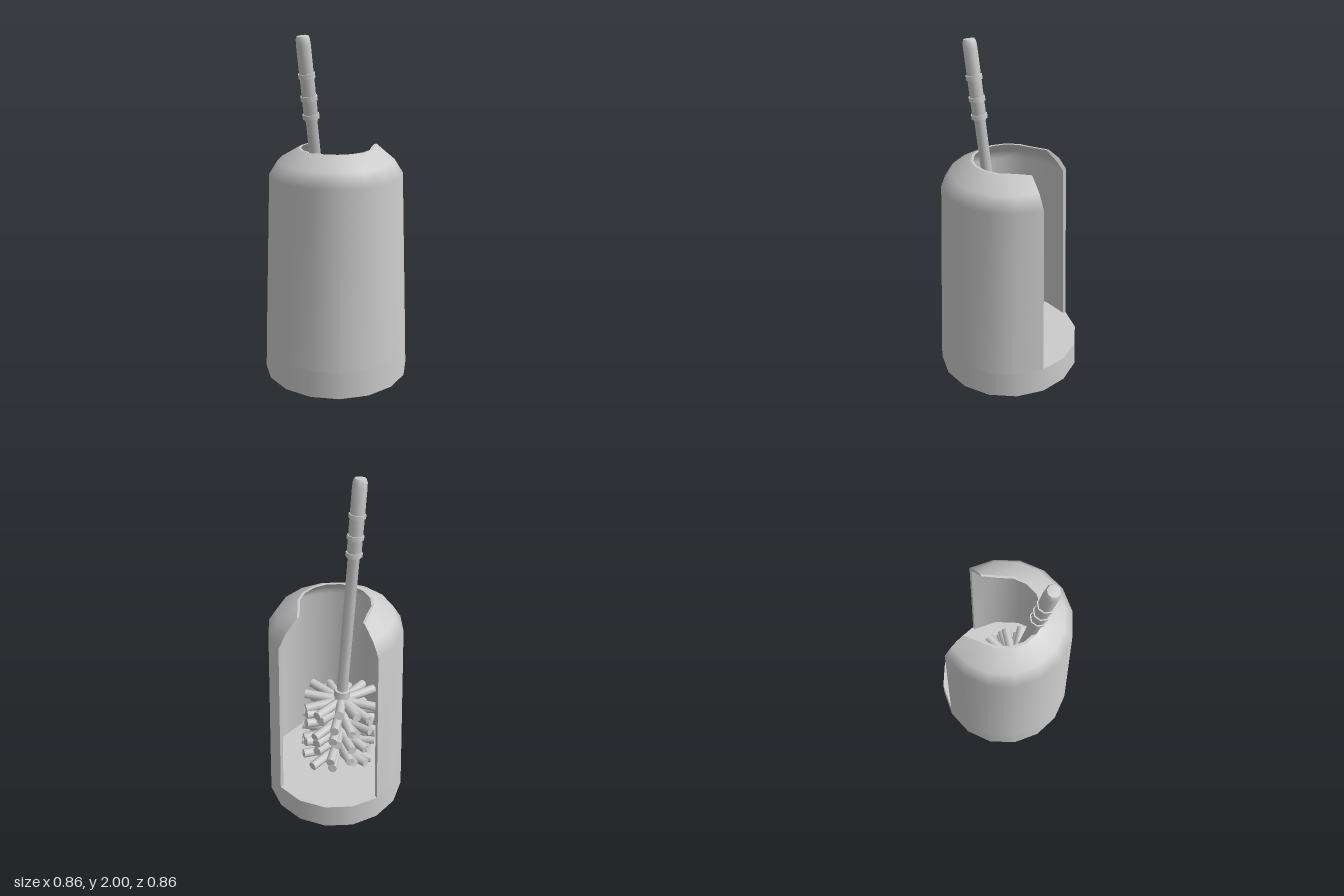
import * as THREE from 'three';
import { mergeGeometries, toCreasedNormals } from 'three/addons/utils/BufferGeometryUtils.js';

const material = new THREE.MeshStandardMaterial({ color: 0xcccccc });
const shellMaterial = new THREE.MeshStandardMaterial({ color: 0xcccccc, side: THREE.DoubleSide });

function part(name, geometry, mat = material) {
  const mesh = new THREE.Mesh(geometry, mat);
  mesh.name = name;
  return mesh;
}

// Grid of quads whose corners come from place(column, row), row 0 on top
function sheet(cols, rows, place) {
  const g = new THREE.PlaneGeometry(1, 1, cols, rows);
  const p = g.attributes.position;
  for (let j = 0; j <= rows; j++)
    for (let i = 0; i <= cols; i++) p.setXYZ(j * (cols + 1) + i, ...place(i, j));
  g.computeVertexNormals();
  return g;
}

// Holder wall: 12 of 16 sides, open at the back; [radius, height] from the rim down
const COLS = 12;
const OUTER = [[0.215, 1.36], [0.335, 1.29], [0.385, 1.21], [0.425, 0.16]];
const INNER = [[0.2, 1.36], [0.318, 1.272], [0.365, 1.2], [0.405, 0.16]];

function wallPoint(profile, i, j) {
  const angle = (i - COLS / 2) * Math.PI / 8;
  let [r, y] = profile[j];
  if (j === 0 && (i === 0 || i === COLS)) r += 0.045; // rim flares at the cut
  return [r * Math.sin(angle), y, r * Math.cos(angle)];
}

function createHolder() {
  const holder = new THREE.Group();
  holder.name = 'holder';
  const last = OUTER.length - 1;
  const wall = mergeGeometries([
    sheet(COLS, last, (i, j) => wallPoint(OUTER, i, j)),
    sheet(COLS, last, (i, j) => wallPoint(INNER, COLS - i, j)),
    sheet(COLS, 1, (i, j) => wallPoint(j ? OUTER : INNER, i, 0)),
    sheet(1, last, (i, j) => wallPoint(i ? OUTER : INNER, 0, j)),
    sheet(1, last, (i, j) => wallPoint(i ? INNER : OUTER, COLS, j)),
  ]);
  holder.add(part('wall', wall, shellMaterial));

  // Solid foot whose top is the floor
  const base = part('base', new THREE.CylinderGeometry(0.425, 0.43, 0.16, 16));
  base.position.y = 0.08;
  holder.add(base);
  return holder;
}

function createBrush() {
  const brush = new THREE.Group();
  brush.name = 'brush';

  // Stem and rounded grip
  const profile = [
    [0, 0.2], [0.025, 0.2], [0.025, 0.62], [0.034, 0.66], [0.034, 1.52],
    [0.042, 1.54], [0.042, 1.93], [0.04, 1.96], [0.033, 1.976], [0, 1.98],
  ].map(([r, y]) => new THREE.Vector2(r, y));
  brush.add(part('handle', toCreasedNormals(new THREE.LatheGeometry(profile, 8), 0.9)));

  // Grip rings and the collar above the bristles
  for (const y of [1.55, 1.65, 1.77]) {
    const ring = part('gripRing', new THREE.CylinderGeometry(0.049, 0.049, 0.024, 8));
    ring.position.y = y;
    brush.add(ring);
  }
  const collar = part('collar', new THREE.CylinderGeometry(0.05, 0.05, 0.06, 8));
  collar.position.y = 0.635;
  brush.add(collar);

  // Thick bristles in rows, each a little off its regular direction
  const bristles = [];
  const rows = 6, perRow = 12;
  for (let row = 0; row < rows; row++) {
    for (let k = 0; k < perRow; k++) {
      const wobble = Math.sin(k * 4.7 + row * 2.3);
      const g = new THREE.CylinderGeometry(0.028, 0.028, 0.23, 8);
      g.translate(0, 0.115, 0);
      g.rotateX(Math.PI / 2 - 0.16 * wobble);
      g.rotateY((k + 0.15 * wobble) * 2 * Math.PI / perRow);
      g.translate(0, 0.23 + row * 0.072, 0);
      bristles.push(g);
    }
  }
  brush.add(part('bristles', mergeGeometries(bristles)));

  // Leans forward and to its right
  brush.position.set(0.003, 0.012, -0.011);
  brush.quaternion.setFromUnitVectors(
    new THREE.Vector3(0, 1, 0), new THREE.Vector3(-0.05, 1, 0.133).normalize());
  brush.scale.y = 1.012;
  return brush;
}

export function createModel() {
  const model = new THREE.Group();
  model.name = 'brushAndHolder';
  model.add(createHolder(), createBrush());
  return model;
}
